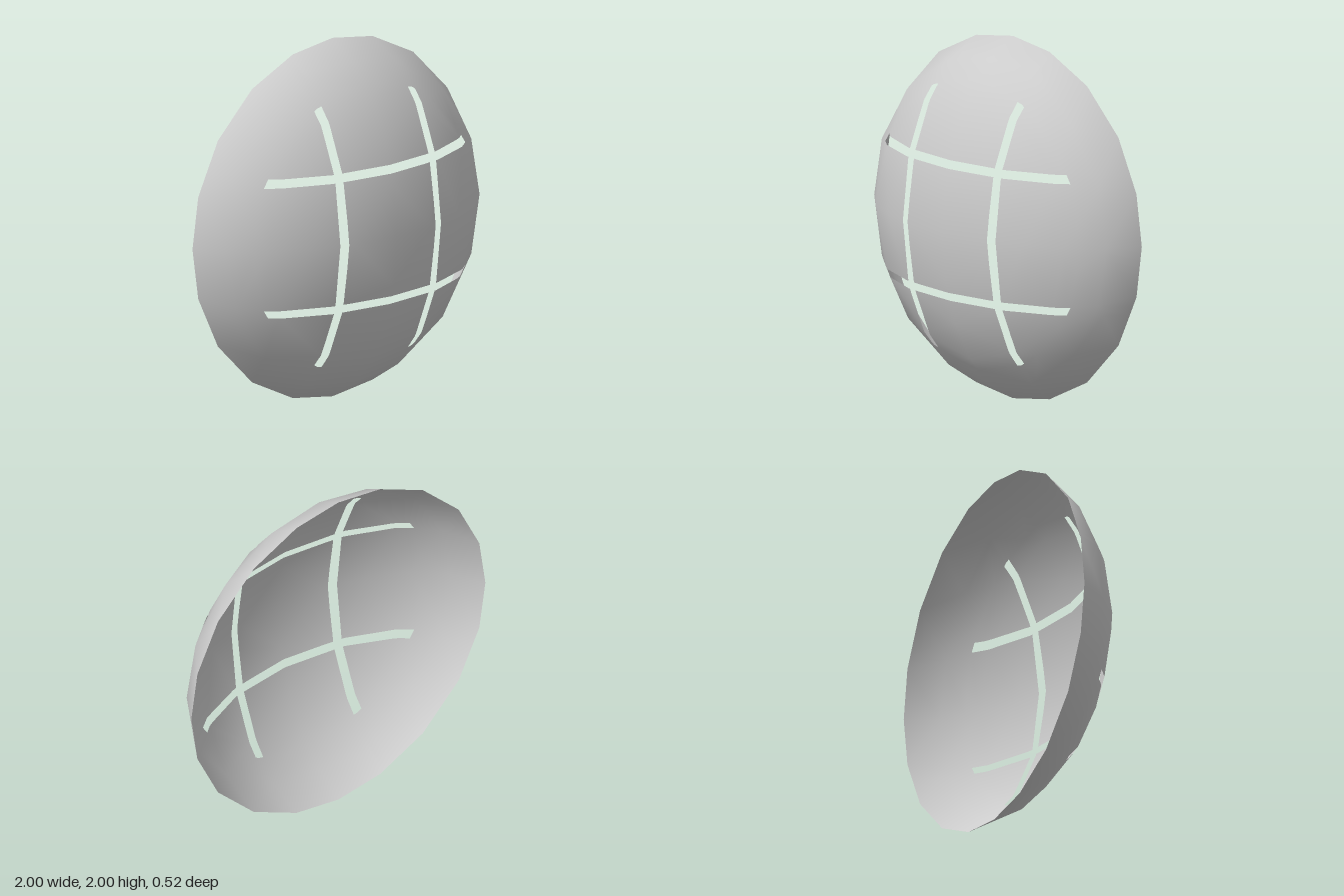
import * as THREE from 'three';

// Flattened ellipsoid cap: radius A across, B deep, centre at depth C
const A = 1.03, B = 0.69, C = 0.263 - B;
const RINGS = [0, 0.275, 0.525, 0.733, 0.9, 1];
const SLOT_X = [0.308, 0.359]; // upright slots, both sides
const SLOT_Y = [0.342, 0.388]; // level slots, above and below the middle

// Point m of ring k within quadrant q (each ring has k steps per quadrant)
function node(k, m, q) {
  const t = k ? m / k : 0;
  const a = (q + t - 0.0175 * Math.sin(2 * Math.PI * t)) * Math.PI / 2;
  const r = RINGS[k];
  const z = C + B * Math.sqrt(1 - (r / A) ** 2);
  return new THREE.Vector3(r * Math.cos(a), r * Math.sin(a), z);
}

// Split a convex polygon by the plane axis = d into its two sides
function split(poly, axis, d) {
  const low = [], high = [];
  poly.forEach((p, i) => {
    const n = poly[(i + 1) % poly.length];
    const s = p[axis] - d, e = n[axis] - d;
    if (s <= 1e-9) low.push(p);
    if (s >= -1e-9) high.push(p);
    if (Math.abs(s) > 1e-9 && Math.abs(e) > 1e-9 && s * e < 0) {
      const c = p.clone().lerp(n, s / (s - e));
      low.push(c);
      high.push(c);
    }
  });
  return [low, high].filter((h) => h.length > 2);
}

const within = (v, [lo, hi]) => Math.abs(v) > lo && Math.abs(v) < hi;

function domeGeometry() {
  // Triangulated dome, four quadrants of five rings
  let polys = [];
  for (let q = 0; q < 4; q++) {
    for (let k = 0; k < 5; k++) {
      for (let m = 0; m <= k; m++) {
        polys.push([node(k, m, q), node(k + 1, m, q), node(k + 1, m + 1, q)]);
        if (m < k) polys.push([node(k, m, q), node(k + 1, m + 1, q), node(k, m + 1, q)]);
      }
    }
  }
  // Score the surface along every slot edge
  const cuts = [['z', 0]];
  for (const s of [-1, 1]) {
    SLOT_X.forEach((d) => cuts.push(['x', s * d]));
    SLOT_Y.forEach((d) => cuts.push(['y', s * d]));
  }
  for (const [axis, d] of cuts) polys = polys.flatMap((p) => split(p, axis, d));

  // Keep everything outside the slots, with smooth ellipsoid normals
  const position = [], normal = [];
  for (const poly of polys) {
    const mid = new THREE.Vector3();
    poly.forEach((p) => mid.addScaledVector(p, 1 / poly.length));
    if (mid.z > 0 && (within(mid.x, SLOT_X) || within(mid.y, SLOT_Y))) continue;
    for (let i = 1; i < poly.length - 1; i++) {
      for (const p of [poly[0], poly[i], poly[i + 1]]) {
        position.push(p.x, p.y, p.z);
        const n = new THREE.Vector3(p.x / A ** 2, p.y / A ** 2, (p.z - C) / B ** 2).normalize();
        normal.push(n.x, n.y, n.z);
      }
    }
  }
  const geometry = new THREE.BufferGeometry();
  geometry.setAttribute('position', new THREE.Float32BufferAttribute(position, 3));
  geometry.setAttribute('normal', new THREE.Float32BufferAttribute(normal, 3));
  return geometry;
}

export function createModel() {
  const group = new THREE.Group();
  group.name = 'slottedDome';
  const material = new THREE.MeshStandardMaterial({ color: 0xcccccc, side: THREE.DoubleSide });
  const shell = new THREE.Mesh(domeGeometry(), material);
  shell.name = 'domeShell';
  shell.position.y = 1;
  group.add(shell);
  return group;
}
